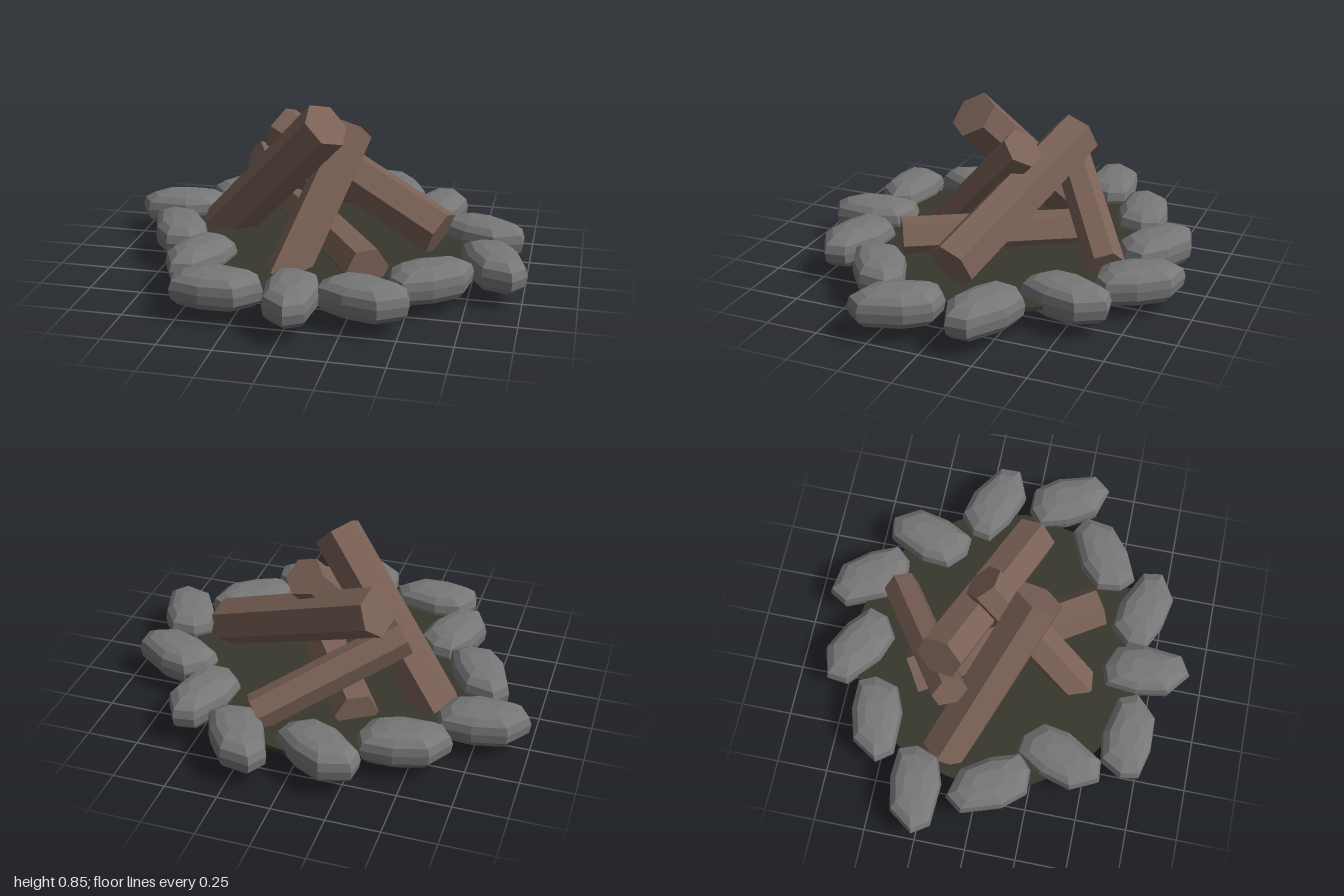
import * as THREE from 'three';
import { ConvexGeometry } from 'three/addons/geometries/ConvexGeometry.js';

const mat = (color) => new THREE.MeshStandardMaterial({ color, flatShading: true });

// Rounded flat stone: an eight-sided outline stacked at several heights
function stoneGeometry() {
  const outline = [[-0.02, -0.215], [0.09, -0.17], [0.128, -0.04], [0.107, 0.165],
    [0.02, 0.215], [-0.096, 0.123], [-0.123, -0.04], [-0.107, -0.187]];
  const layers = [[0.08, 0.8], [0.11, 0.96], [0.155, 1], [0.195, 0.94], [0.222, 0.72], [0.235, 0.38]];
  const points = [];
  for (const [y, s] of layers) {
    for (const [x, z] of outline) points.push(new THREE.Vector3(x * s, y, z * s));
  }
  return new ConvexGeometry(points);
}

// Six-sided log between two end centres
function makeLog(name, from, to, radius, twist, material) {
  const a = new THREE.Vector3(...from);
  const b = new THREE.Vector3(...to);
  const dir = b.clone().sub(a);
  const geometry = new THREE.CylinderGeometry(radius, radius, dir.length(), 6);
  geometry.rotateY(twist);
  const log = new THREE.Mesh(geometry, material);
  log.name = name;
  log.position.copy(a).add(b).multiplyScalar(0.5);
  log.quaternion.setFromUnitVectors(new THREE.Vector3(0, 1, 0), dir.normalize());
  return log;
}

export function createModel() {
  const group = new THREE.Group();
  group.name = 'campfire';
  const wood = mat(0x7a6156);
  const rock = mat(0x777777);

  // Ash bed
  const ash = new THREE.Mesh(new THREE.CylinderGeometry(0.73, 0.73, 0.02, 16), mat(0x38372c));
  ash.name = 'ashBed';
  ash.position.set(0.02, 0.13, -0.03);
  group.add(ash);

  // Logs: one lying flat, four leaning on each other
  const logs = new THREE.Group();
  logs.name = 'logs';
  logs.add(
    makeLog('lyingLog', [0.31, 0.185, 0.42], [-0.22, 0.165, -0.43], 0.105, 0, wood),
    makeLog('tallLog', [-0.55, 0.09, -0.19], [0.06, 0.77, 0.15], 0.12, 0.2, wood),
    makeLog('frontLog', [-0.09, 0.075, 0.4], [0.13, 0.665, -0.13], 0.1, 0.5, wood),
    makeLog('sideLog', [0.59, 0.235, 0.03], [-0.26, 0.62, -0.26], 0.118, 0, wood),
    makeLog('backLog', [0.22, 0.18, -0.58], [-0.37, 0.47, -0.19], 0.09, 0.3, wood),
  );
  group.add(logs);

  // Ring of stones: x, z, and the long axis in plan (dx, dz)
  const ring = [
    [0.02, 0.71, 8, 80], [-0.32, 0.68, 81, 3], [0.34, 0.65, 76, 21], [0.6, 0.39, 67, -47],
    [0.86, 0.17, 37, 71], [0.775, -0.2, 71, 31], [0.52, -0.5, 20, -71], [0.245, -0.75, -46, -66],
    [-0.135, -0.725, -68, -40], [-0.48, -0.55, -78, 17], [-0.785, -0.29, -79, 12],
    [-0.69, 0.055, -40, -70], [-0.5, 0.375, -27, 74],
  ];
  const stones = new THREE.Group();
  stones.name = 'stoneRing';
  const geometry = stoneGeometry();
  for (const [x, z, dx, dz] of ring) {
    const stone = new THREE.Mesh(geometry, rock);
    stone.name = 'stone';
    stone.position.set(x, 0, z);
    stone.rotation.y = Math.atan2(dx, dz) - 0.1;
    stones.add(stone);
  }
  group.add(stones);
  return group;
}
